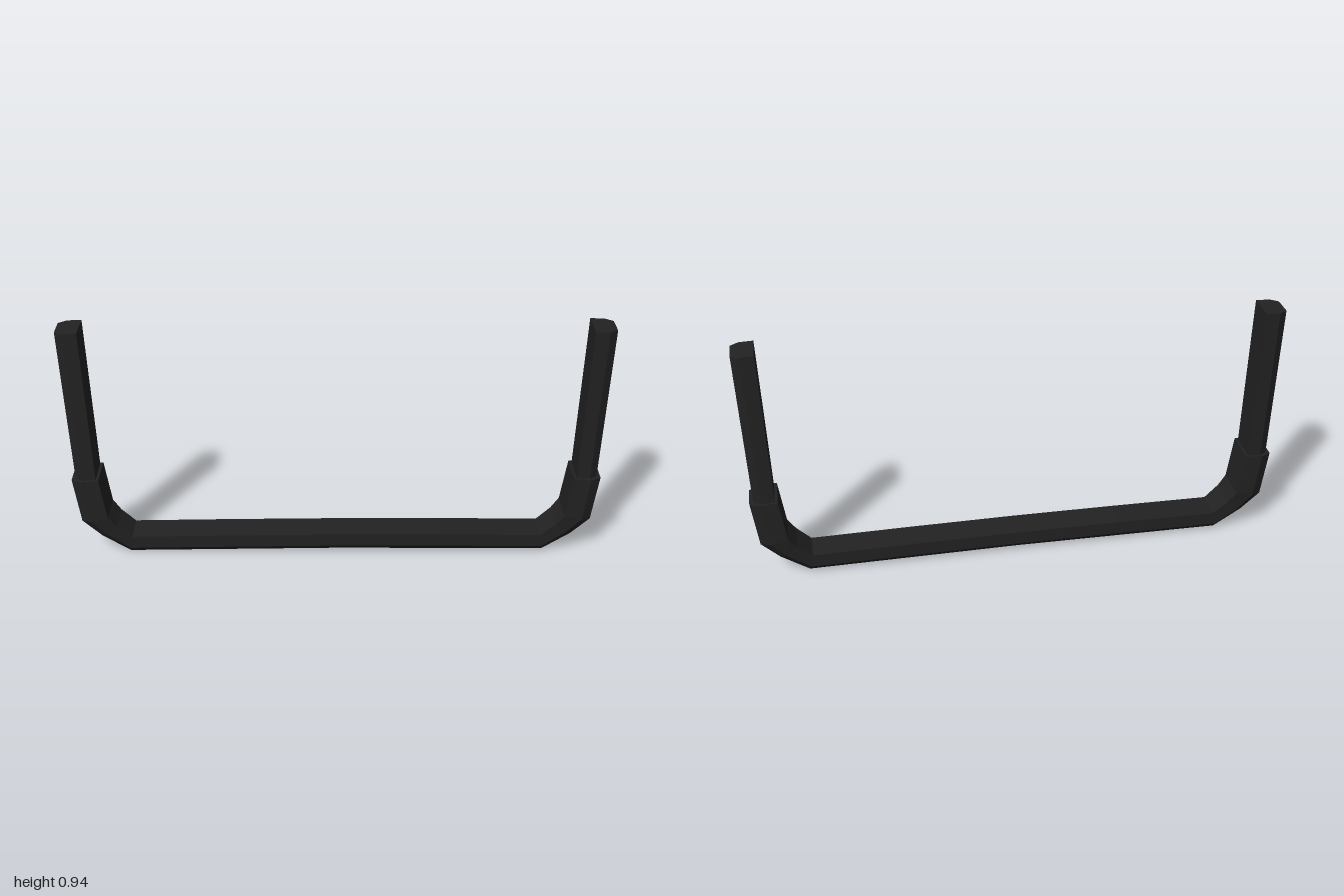
import * as THREE from 'three';

// One station along the frame: outer and inner edge in xy, half depth, half depth of the bevelled outer face
const station = (outer, inner, half, bevel) => ({ outer, inner, half, bevel });

// Mirror a run of stations to the other side, keeping the direction of travel consistent
const mirrored = (run) => run
  .map((s) => station([-s.outer[0], s.outer[1]], [-s.inner[0], s.inner[1]], s.half, s.bevel))
  .reverse();

// Six-sided section: flat inner face, straight sides, two bevels to a narrow outer face
function section({ outer, inner, half, bevel }) {
  const at = (t, z) => [
    outer[0] + (inner[0] - outer[0]) * t,
    outer[1] + (inner[1] - outer[1]) * t,
    z,
  ];
  return [at(1, half), at(0.36, half), at(0, bevel), at(0, -bevel), at(0.36, -half), at(1, -half)];
}

// Join sections into a closed, faceted solid
function loft(run) {
  const rings = run.map(section);
  const points = [];
  const tri = (a, b, c) => points.push(...a, ...b, ...c);
  for (let i = 0; i < rings.length - 1; i++) {
    for (let j = 0; j < 6; j++) {
      const k = (j + 1) % 6;
      const [a, b, c, d] = [rings[i][j], rings[i][k], rings[i + 1][k], rings[i + 1][j]];
      tri(a, b, c);
      tri(a, c, d);
    }
  }
  const first = rings[0];
  const last = rings[rings.length - 1];
  for (let j = 1; j < 5; j++) {
    tri(first[0], first[j + 1], first[j]);
    tri(last[0], last[j], last[j + 1]);
  }
  const geometry = new THREE.BufferGeometry();
  geometry.setAttribute('position', new THREE.Float32BufferAttribute(points, 3));
  geometry.computeVertexNormals();
  return geometry;
}

export function createModel() {
  const group = new THREE.Group();
  const black = new THREE.MeshStandardMaterial({ color: 0x222222, flatShading: true });
  black.name = 'matte black';

  const add = (name, run) => {
    const mesh = new THREE.Mesh(loft(run), black);
    mesh.name = name;
    group.add(mesh);
  };

  // Cross bar, bowed up very slightly in the middle
  const barEnd = station([0.8, 0], [0.785, 0.08], 0.058, 0.03);
  const barHalf = [station([0.4, 0.003], [0.4, 0.084], 0.058, 0.03), barEnd];
  const barMiddle = station([0, 0.006], [0, 0.086], 0.058, 0.03);
  add('crossBar', [...mirrored(barHalf), barMiddle, ...barHalf]);

  // Elbow sleeve, widening as it turns upward
  const elbow = [
    barEnd,
    station([0.905, 0.075], [0.84, 0.13], 0.063, 0.037),
    station([0.973, 0.147], [0.87, 0.17], 0.069, 0.045),
    station([0.996, 0.331], [0.893, 0.338], 0.07, 0.048),
  ];
  add('leftElbow', elbow);
  add('rightElbow', mirrored(elbow));

  // Upright, seated inside the sleeve
  const upright = [
    station([0.98, 0.28], [0.902, 0.28], 0.06, 0.04),
    station([1, 0.937], [0.918, 0.94], 0.06, 0.04),
  ];
  add('leftUpright', upright);
  add('rightUpright', mirrored(upright));

  return group;
}
